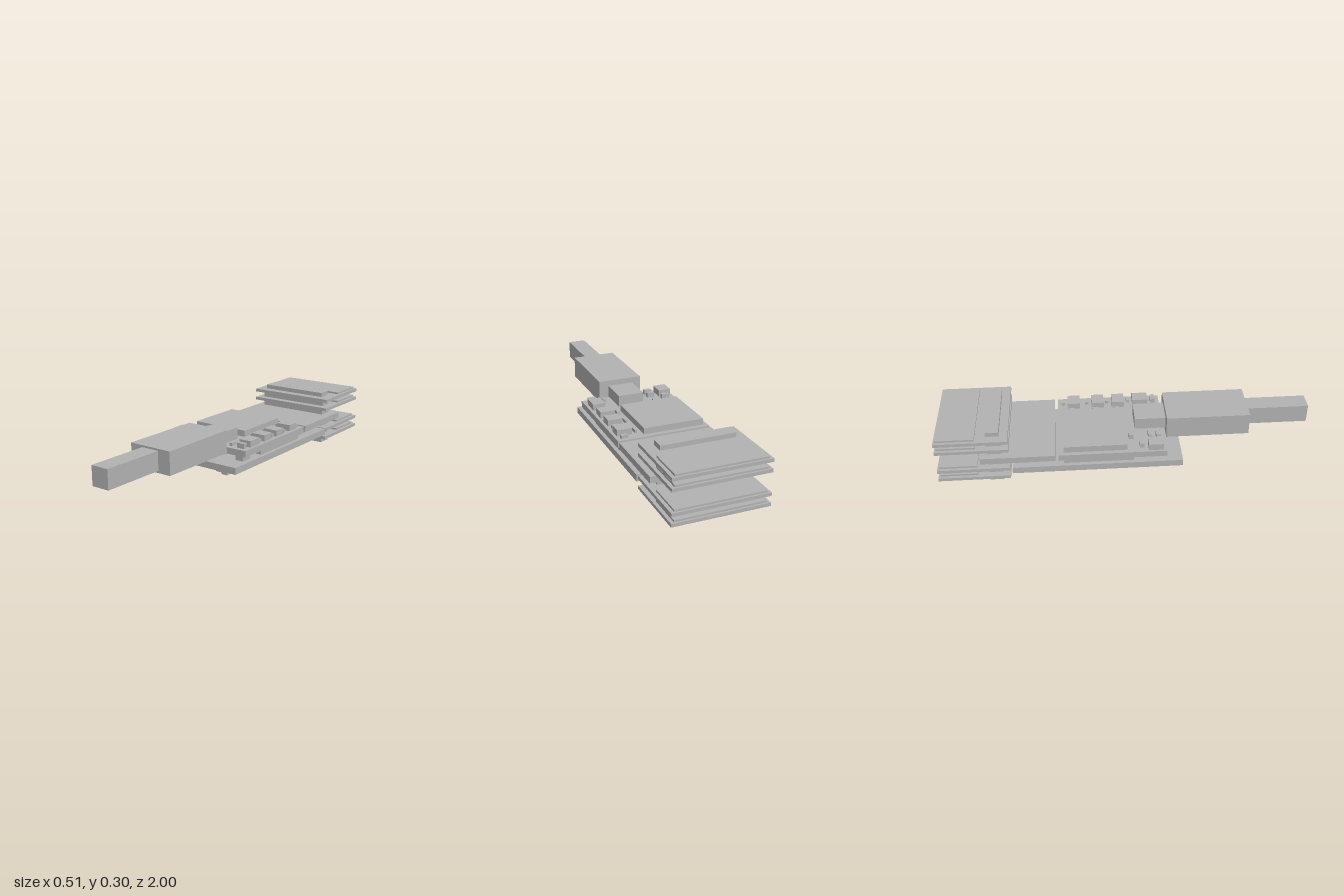
import * as THREE from 'three';

const grey = new THREE.MeshStandardMaterial({ color: 0xb2b2b2 });
grey.name = 'plain grey';

export function createModel() {
  const model = new THREE.Group();
  model.name = 'usbStickInternals';

  // Box given by its limits on each axis
  const box = (name, x0, x1, y0, y1, z0, z1) => {
    const mesh = new THREE.Mesh(new THREE.BoxGeometry(x1 - x0, y1 - y0, z1 - z0), grey);
    mesh.name = name;
    mesh.position.set((x0 + x1) / 2, (y0 + y1) / 2, (z0 + z1) / 2);
    model.add(mesh);
  };

  // Circuit boards
  box('lowerBoard', -0.254, 0.254, 0.069, 0.105, -0.61, 0.29);
  box('upperFrontBoard', -0.254, 0.254, 0.139, 0.173, -0.366, 0.205);
  box('upperRearBoard', -0.254, 0.254, 0.139, 0.173, -0.772, -0.383);

  // Parts between the boards
  box('middleChip', -0.233, 0.233, 0.105, 0.139, -0.34, 0.03);
  box('boardSpacer', -0.2, 0.2, 0.105, 0.139, -0.47, -0.406);
  box('boardSpacer', -0.2, 0.2, 0.105, 0.139, -0.583, -0.508);

  // Rear stack of plates, each with a raised panel
  for (const y of [0.035, 0.087, 0.208, 0.26]) {
    box('rearPlate', -0.251, 0.25, y, y + 0.0175, -1, -0.622);
    box('platePanel', -0.234, 0.232, y + 0.0175, y + 0.0275, -0.99, -0.792);
  }
  box('stackPost', -0.215, 0.202, 0, 0.26, -0.737, -0.662);
  box('stackCap', -0.202, 0.19, 0.27, 0.302, -0.737, -0.668);

  // Plug, its tip and the block behind it
  box('plugBody', -0.102, 0.144, 0.146, 0.268, 0.216, 0.665);
  box('plugTip', -0.029, 0.071, 0.157, 0.258, 0.665, 1);
  box('plugBlock', -0.053, 0.09, 0.173, 0.237, 0.048, 0.216);

  // Chips on the upper board
  box('mainChip', -0.23, 0.102, 0.173, 0.207, -0.338, -0.003);
  for (const z of [-0.31, -0.177, -0.063]) {
    box('sideChip', 0.156, 0.237, 0.173, 0.207, z, z + 0.069);
    box('sideResistor', 0.127, 0.14, 0.173, 0.19, z + 0.003, z + 0.04);
  }
  box('sideChip', 0.168, 0.238, 0.173, 0.207, 0.053, 0.138);
  box('cornerChip', -0.243, -0.174, 0.173, 0.209, 0.108, 0.187);
  box('sideResistor', 0.132, 0.148, 0.173, 0.19, 0.138, 0.175);
  for (const z of [-0.344, -0.212, -0.098, 0.02]) {
    box('smallResistor', 0.193, 0.228, 0.173, 0.19, z, z + 0.018);
  }
  // [x0, x1, z0, z1]
  for (const [x0, x1, z0, z1] of [
    [0.183, 0.228, 0.156, 0.18], [-0.14, -0.1, 0.008, 0.034], [-0.217, -0.175, 0.063, 0.087],
    [-0.148, -0.106, 0.114, 0.135], [-0.148, -0.106, 0.156, 0.18],
  ]) box('smallCapacitor', x0, x1, 0.173, 0.2, z0, z1);

  // Parts under the front of the upper board: [x0, x1, bottom, z0, z1]
  for (const [x0, x1, y, z0, z1] of [
    [-0.213, -0.178, 0.118, 0.15, 0.19], [-0.16, -0.122, 0.118, 0.13, 0.19],
    [-0.1, -0.075, 0.125, 0.09, 0.12], [-0.075, -0.035, 0.118, 0.15, 0.19],
    [-0.005, 0.03, 0.118, 0.07, 0.11], [0.06, 0.1, 0.118, 0.14, 0.18],
    [0.13, 0.18, 0.125, 0.06, 0.1], [0.186, 0.231, 0.11, 0.13, 0.195],
  ]) box('hangingPart', x0, x1, y, 0.139, z0, z1);

  // Parts under the lower board: [centre x, centre z, width, depth, bottom]
  for (const [x, z, w, d, y] of [
    [-0.115, -0.243, 0.07, 0.036, 0.032], [-0.135, -0.1, 0.06, 0.04, 0.045],
    [0.09, -0.24, 0.05, 0.036, 0.045], [0.14, -0.24, 0.06, 0.036, 0.04],
    [0.13, -0.1, 0.05, 0.04, 0.045], [0.08, 0.022, 0.05, 0.035, 0.048],
    [0.08, 0.09, 0.05, 0.032, 0.048], [-0.035, 0.022, 0.065, 0.035, 0.048],
    [0.115, 0.225, 0.04, 0.04, 0.045], [0.17, 0.26, 0.035, 0.025, 0.048],
    [0.09, 0.165, 0.03, 0.04, 0.05], [0, 0.19, 0.065, 0.04, 0.049],
    [-0.085, 0.16, 0.045, 0.03, 0.045], [-0.138, 0.09, 0.05, 0.032, 0.048],
    [-0.16, 0.185, 0.04, 0.04, 0.042], [0.144, 0.145, 0.03, 0.025, 0.048],
    [-0.14, -0.022, 0.05, 0.016, 0.05], [-0.11, 0.2, 0.02, 0.03, 0.05],
  ]) box('undersidePart', x - w / 2, x + w / 2, y, 0.069, z - d / 2, z + d / 2);

  return model;
}
